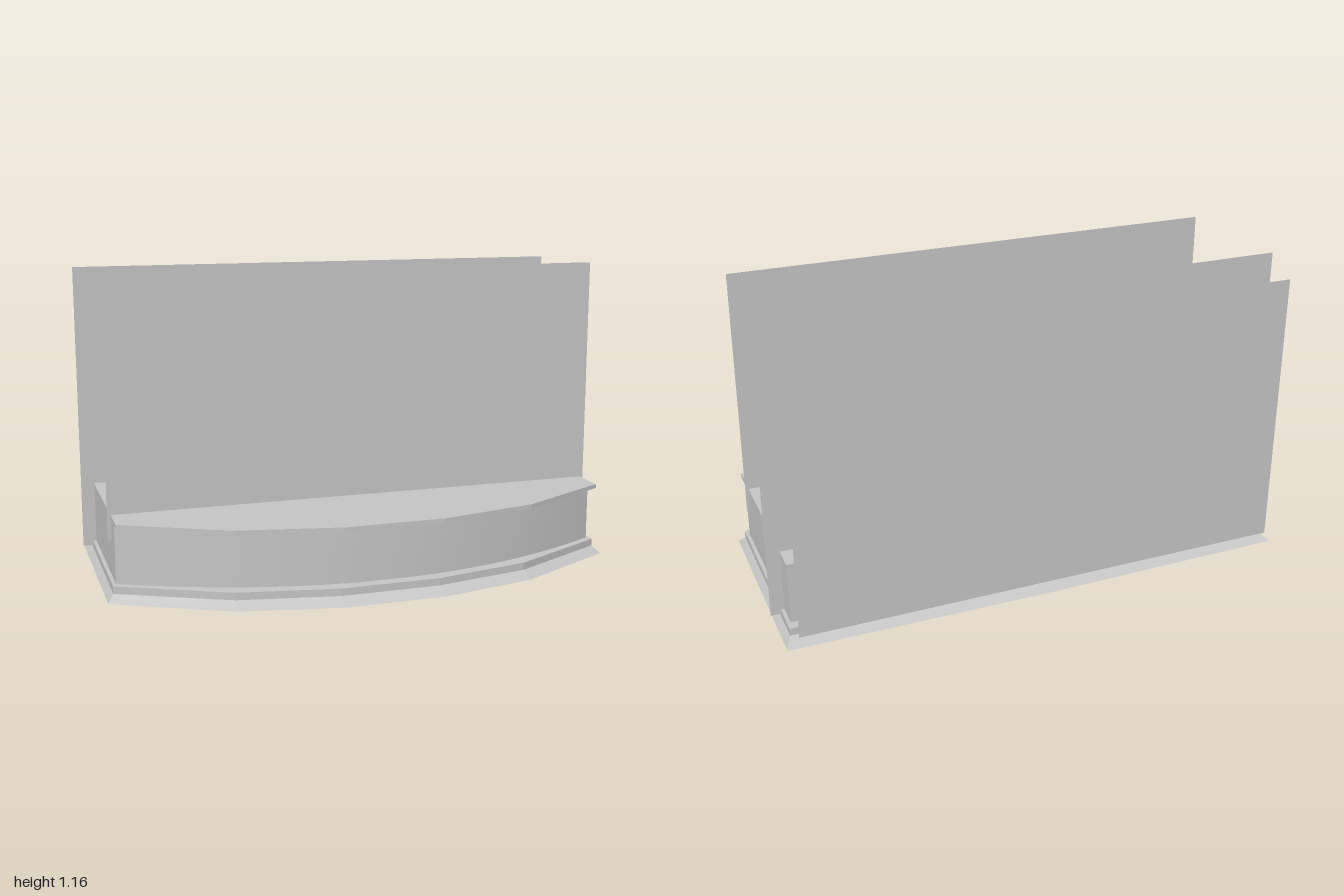
import * as THREE from 'three';
import { toCreasedNormals } from 'three/addons/utils/BufferGeometryUtils.js';

// Outline seen from above, bowed at the front: left to right along the bow, then round the back.
function outline(halfWidth, corner, bow, back, backMid = back) {
  const pts = [[-halfWidth, corner]];
  for (const [x, z] of bow) pts.push([-x, z]);
  for (const [x, z] of [...bow].reverse()) pts.push([x, z]);
  pts.push([halfWidth, corner], [halfWidth, back], [0, backMid], [-halfWidth, back]);
  return pts;
}

// Closed solid between two matching outlines at heights y0 and y1.
function loft(lower, upper, y0, y1, crease) {
  const lo = lower.map(([x, z]) => [x, y0, z]);
  const hi = upper.map(([x, z]) => [x, y1, z]);
  const pos = [];
  const tri = (a, b, c) => pos.push(...a, ...b, ...c);
  const n = lo.length;
  for (let i = 0; i < n; i++) {
    const j = (i + 1) % n;
    tri(lo[i], lo[j], hi[j]);
    tri(lo[i], hi[j], hi[i]);
    if (i > 0 && j > 0) {
      tri(hi[0], hi[i], hi[j]);
      tri(lo[0], lo[j], lo[i]);
    }
  }
  const geo = new THREE.BufferGeometry();
  geo.setAttribute('position', new THREE.Float32BufferAttribute(pos, 3));
  geo.computeVertexNormals();
  return crease ? toCreasedNormals(geo, crease) : geo;
}

export function createModel() {
  const group = new THREE.Group();
  const grey = new THREE.MeshStandardMaterial({ color: 0xc4c4c4, side: THREE.DoubleSide });
  grey.name = 'plain grey';
  const add = (name, geo) => {
    const mesh = new THREE.Mesh(geo, grey);
    mesh.name = name;
    group.add(mesh);
    return mesh;
  };

  // Sloped foot and the step above it
  const foot = outline(0.985, 0.268, [[0.57, 0.485], [0.19, 0.565]], -0.54, -0.55);
  const step = outline(0.962, 0.238, [[0.56, 0.441], [0.19, 0.513]], -0.49, -0.5);
  add('slopedFoot', loft(foot, step, 0, 0.026));
  add('plinthStep', loft(step, step, 0.026, 0.054));

  // Main body with a smoothly bowed front
  const bow = [];
  for (let i = 1; i < 9; i++) {
    const t = 1 - i / 9;
    bow.push([0.948 * t, 0.47 - 0.257 * t * t]);
  }
  const body = outline(0.948, 0.213, bow, -0.452);
  add('body', loft(body, body, 0.054, 0.276, 0.5));

  // Thin top overhanging the front
  const slab = outline(0.95, 0.276, [[0.57, 0.476], [0.19, 0.556]], -0.455);
  add('topSlab', loft(slab, slab, 0.276, 0.292));

  // Upright sheets: half width, bottom, top, z
  const sheets = [
    ['frontSheet', 0.963, 0.196, 1.162, 0.14],
    ['middleSheet', 1, 0.037, 1.153, -0.36],
    ['backSheet', 0.945, 0.058, 1.117, -0.56],
  ];
  for (const [name, half, y0, y1, z] of sheets) {
    add(name, new THREE.PlaneGeometry(half * 2, y1 - y0)).position.set(0, (y0 + y1) / 2, z);
  }

  // Everything sits turned very slightly
  group.rotation.y = -0.0122;
  const root = new THREE.Group();
  root.name = 'counterWithSheets';
  group.name = 'counter';
  root.add(group);
  return root;
}
